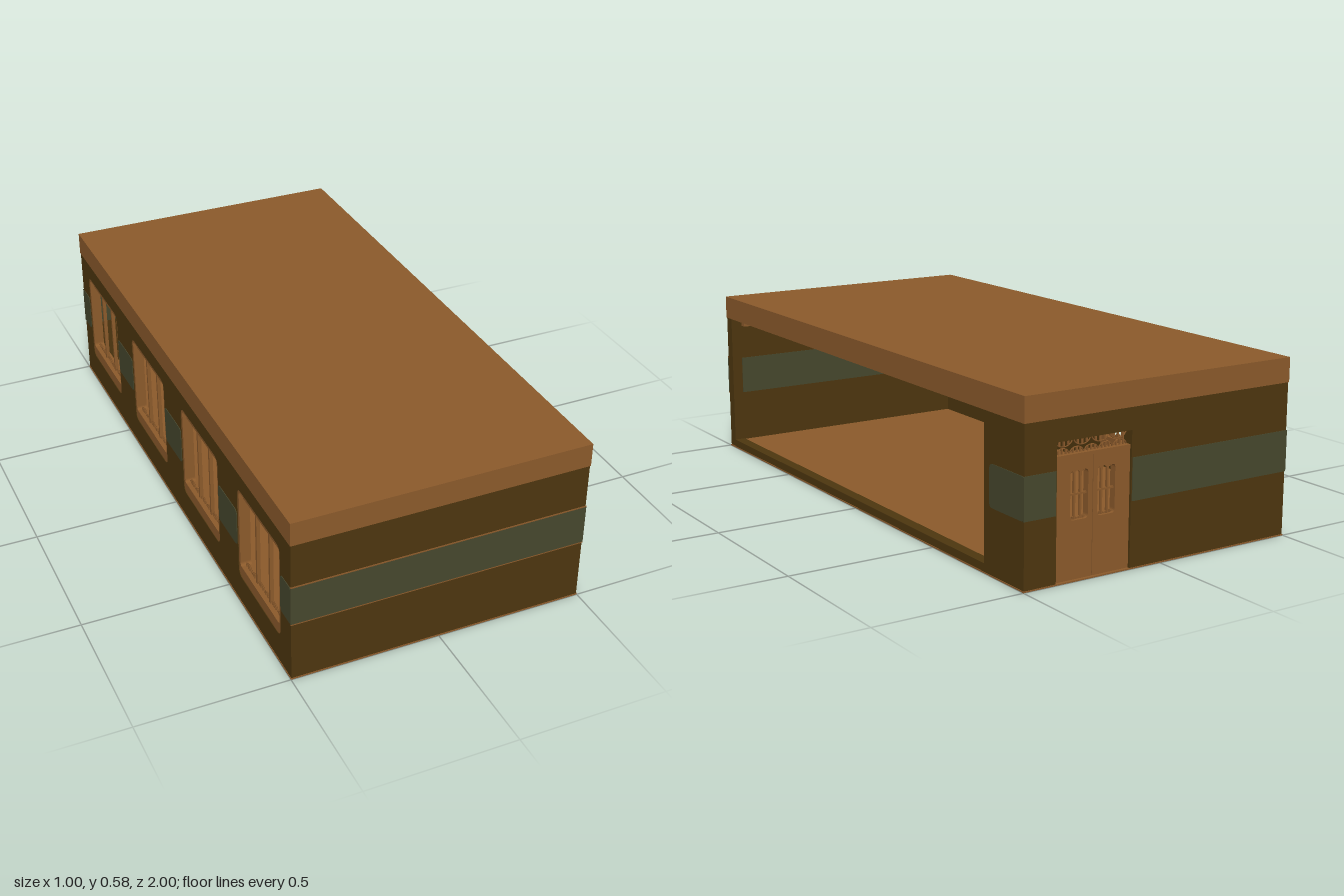
import * as THREE from 'three';

const brown = new THREE.MeshStandardMaterial({ color: 0x8b5a2b });
brown.name = 'warm wood';
const dark = new THREE.MeshStandardMaterial({ color: 0x4d360f });
dark.name = 'dark wall';
const green = new THREE.MeshStandardMaterial({ color: 0x46472d });
green.name = 'green stripe';

function add(parent, name, geo, mat, x = 0, y = 0, z = 0) {
  const m = new THREE.Mesh(geo, mat);
  m.name = name;
  m.position.set(x, y, z);
  parent.add(m);
  return m;
}

// Box given by its lower and upper limits
function box(parent, name, mat, x0, x1, y0, y1, z0, z1) {
  return add(parent, name, new THREE.BoxGeometry(x1 - x0, y1 - y0, z1 - z0), mat,
    (x0 + x1) / 2, (y0 + y1) / 2, (z0 + z1) / 2);
}

// Rounded rectangle outline, as a Shape or a Path
function rounded(T, x0, x1, y0, y1, r) {
  const p = new T();
  p.moveTo(x0 + r, y0);
  p.lineTo(x1 - r, y0); p.quadraticCurveTo(x1, y0, x1, y0 + r);
  p.lineTo(x1, y1 - r); p.quadraticCurveTo(x1, y1, x1 - r, y1);
  p.lineTo(x0 + r, y1); p.quadraticCurveTo(x0, y1, x0, y1 - r);
  p.lineTo(x0, y0 + r); p.quadraticCurveTo(x0, y0, x0 + r, y0);
  return p;
}

function polygon(points) {
  return new THREE.Shape(points.map(([x, y]) => new THREE.Vector2(x, y)));
}

function extrude(shape, depth) {
  return new THREE.ExtrudeGeometry(shape, { depth, bevelEnabled: false, curveSegments: 5 });
}

// Row of small slats tied by scalloped arcs; dir is -1 when hanging, 1 when standing
function lace(parent, name, x0, x1, y, dir, arcs, z) {
  const g = new THREE.Group();
  g.name = name;
  parent.add(g);
  const w = (x1 - x0) / arcs;
  const arcGeo = new THREE.TorusGeometry(w * 0.46, 0.0025, 4, 10, Math.PI);
  for (let i = 0; i < arcs; i++) {
    const cx = x0 + (i + 0.5) * w;
    const arc = add(g, 'scallop', arcGeo, brown, cx, y, z);
    arc.scale.y = dir * 0.7;
    for (const t of [-0.25, 0, 0.25]) {
      const h = 0.65 * w * Math.sqrt(0.22 - t * t);
      add(g, 'slat', new THREE.BoxGeometry(0.0045, h, 0.006), brown, cx + t * w, y + dir * h / 2, z);
    }
  }
}

// Window in its own frame: local x along the wall, z across its thickness
function makeWindow() {
  const g = new THREE.Group();
  g.name = 'window';
  const frame = rounded(THREE.Shape, -0.17, 0.17, 0.1, 0.44, 0.03);
  frame.holes.push(rounded(THREE.Path, -0.157, 0.157, 0.143, 0.428, 0.012));
  add(g, 'windowFrame', extrude(frame, 0.036), brown);
  for (const x of [-0.052, 0.052])
    box(g, 'mullion', brown, x - 0.005, x + 0.005, 0.14, 0.43, 0.012, 0.024);
  lace(g, 'topLace', -0.155, 0.155, 0.43, -1, 6, 0.018);
  lace(g, 'bottomLace', -0.155, 0.155, 0.141, 1, 6, 0.018);
  box(g, 'topRail', brown, -0.157, 0.157, 0.397, 0.401, 0.014, 0.022);
  for (const x of [-0.12, 0.12])
    box(g, 'sillBracket', brown, x - 0.008, x + 0.008, 0.1, 0.13, -0.005, 0);
  return g;
}

// Double door with pierced lights and a crest above
function makeDoor() {
  const g = new THREE.Group();
  g.name = 'door';
  for (const s of [-1, 1]) {
    const leaf = polygon([[0.001 * s, 0.004], [0.135 * s, 0.004], [0.135 * s, 0.375], [0.001 * s, 0.375]]);
    const c = 0.049 * s;
    leaf.holes.push(rounded(THREE.Path, c - 0.032, c + 0.032, 0.185, 0.335, 0.012));
    add(g, 'doorLeaf', extrude(leaf, 0.024), brown, 0, 0, 0.008);
    lace(g, 'lightTopLace', c - 0.03, c + 0.03, 0.336, -1, 2, 0.02);
    lace(g, 'lightBottomLace', c - 0.03, c + 0.03, 0.184, 1, 2, 0.02);
    for (const d of [-0.011, 0.011])
      box(g, 'lightBar', brown, c + d - 0.003, c + d + 0.003, 0.185, 0.335, 0.016, 0.024);
    box(g, 'lightRail', brown, c - 0.032, c + 0.032, 0.258, 0.264, 0.016, 0.024);
    box(g, 'lowerPanel', brown, c - 0.035, c + 0.035, 0.05, 0.15, 0.032, 0.037);
    add(g, 'doorKnob', new THREE.SphereGeometry(0.007, 8, 6), brown, 0.014 * s, 0.17, 0.038);
    const p = 0.137 * s;
    box(g, 'doorPost', brown, p - 0.008, p + 0.008, 0.03, 0.385, 0.03, 0.055);
  }
  box(g, 'doorHead', brown, -0.135, 0.135, 0.375, 0.385, 0.008, 0.04);
  lace(g, 'crestLace', -0.13, 0.13, 0.386, 1, 5, 0.02);
  lace(g, 'crestDrops', -0.13, 0.13, 0.428, -1, 4, 0.02);
  return g;
}

export function createModel() {
  const model = new THREE.Group();
  model.name = 'longRoom';

  // Roof, base and floor
  box(model, 'roof', brown, -0.5, 0.5, 0.5, 0.58, -1, 1);
  box(model, 'base', brown, -0.5, 0.5, 0, 0.004, -1, 1);
  box(model, 'floor', brown, -0.458, 0.458, 0.004, 0.028, -0.958, 0.958);

  // Front wall and the cornice inside it
  box(model, 'frontWall', dark, -0.498, 0.498, 0.004, 0.5, 0.96, 0.998);
  box(model, 'cornice', brown, -0.458, 0.458, 0.47, 0.5, 0.935, 0.96);

  // Back wall with the doorway cut from its lower edge
  const back = polygon([[-0.498, 0.004], [0.115, 0.004], [0.115, 0.43], [0.385, 0.43],
    [0.385, 0.004], [0.498, 0.004], [0.498, 0.5], [-0.498, 0.5]]);
  add(model, 'backWall', extrude(back, 0.038), dark, 0, 0, -0.998);
  const door = makeDoor();
  door.position.set(0.25, 0, -0.998);
  model.add(door);

  // Side walls: local x runs along world z, depth runs toward -x
  const sideWall = (name, shape, x) =>
    add(model, name, extrude(shape, 0.038).rotateY(-Math.PI / 2), dark, x);
  const openSide = polygon([[-0.96, 0.004], [0.998, 0.004], [0.998, 0.5], [0.96, 0.5],
    [0.96, 0.03], [-0.79, 0.03], [-0.79, 0.5], [-0.96, 0.5]]);
  sideWall('openSideWall', openSide, 0.498);
  box(model, 'openSideCorner', dark, 0.46, 0.498, 0.004, 0.5, -0.998, -0.96);

  const centres = [-0.75, -0.25, 0.25, 0.75];
  const windowSide = polygon([[-0.96, 0.004], [0.96, 0.004], [0.96, 0.5], [-0.96, 0.5]]);
  for (const c of centres) {
    windowSide.holes.push(rounded(THREE.Path, c - 0.168, c + 0.168, 0.102, 0.438, 0.03));
    const w = makeWindow();
    w.rotation.y = -Math.PI / 2;
    w.position.set(-0.46, 0, c);
    model.add(w);
  }
  sideWall('windowSideWall', windowSide, -0.46);

  // Stripe plates along the end walls, outside and inside
  const y0 = 0.212, y1 = 0.346;
  const endStripe = (x0, x1, z) => box(model, 'stripe', green, x0, x1, y0, y1, z - 0.002, z + 0.002);
  endStripe(-0.5, 0.5, 0.998);
  endStripe(-0.46, 0.46, 0.96);
  for (const [z, lim] of [[-0.998, 0.5], [-0.96, 0.46]]) {
    endStripe(-lim, 0.112, z);
    endStripe(0.388, lim, z);
  }
  for (const y of [0.21, 0.348])
    box(model, 'stripeEdge', brown, -0.5, 0.5, y - 0.002, y + 0.002, 0.997, 1);

  // Stripe plates along the side walls, with rounded ends beside openings
  const sideStripe = (z0, z1, x) => {
    const s = rounded(THREE.Shape, z0, z1, y0, y1, 0.016);
    add(model, 'stripe', extrude(s, 0.004).rotateY(-Math.PI / 2), green, x + 0.002);
  };
  for (const x of [-0.498, -0.46]) {
    const end = x < -0.47 ? 1 : 0.958;
    for (const c of [-0.5, 0, 0.5]) sideStripe(c - 0.078, c + 0.078, x);
    sideStripe(0.922, end, x);
    sideStripe(-end, -0.922, x);
  }
  sideStripe(-1, -0.82, 0.498);
  sideStripe(-0.958, -0.82, 0.46);
  return model;
}
